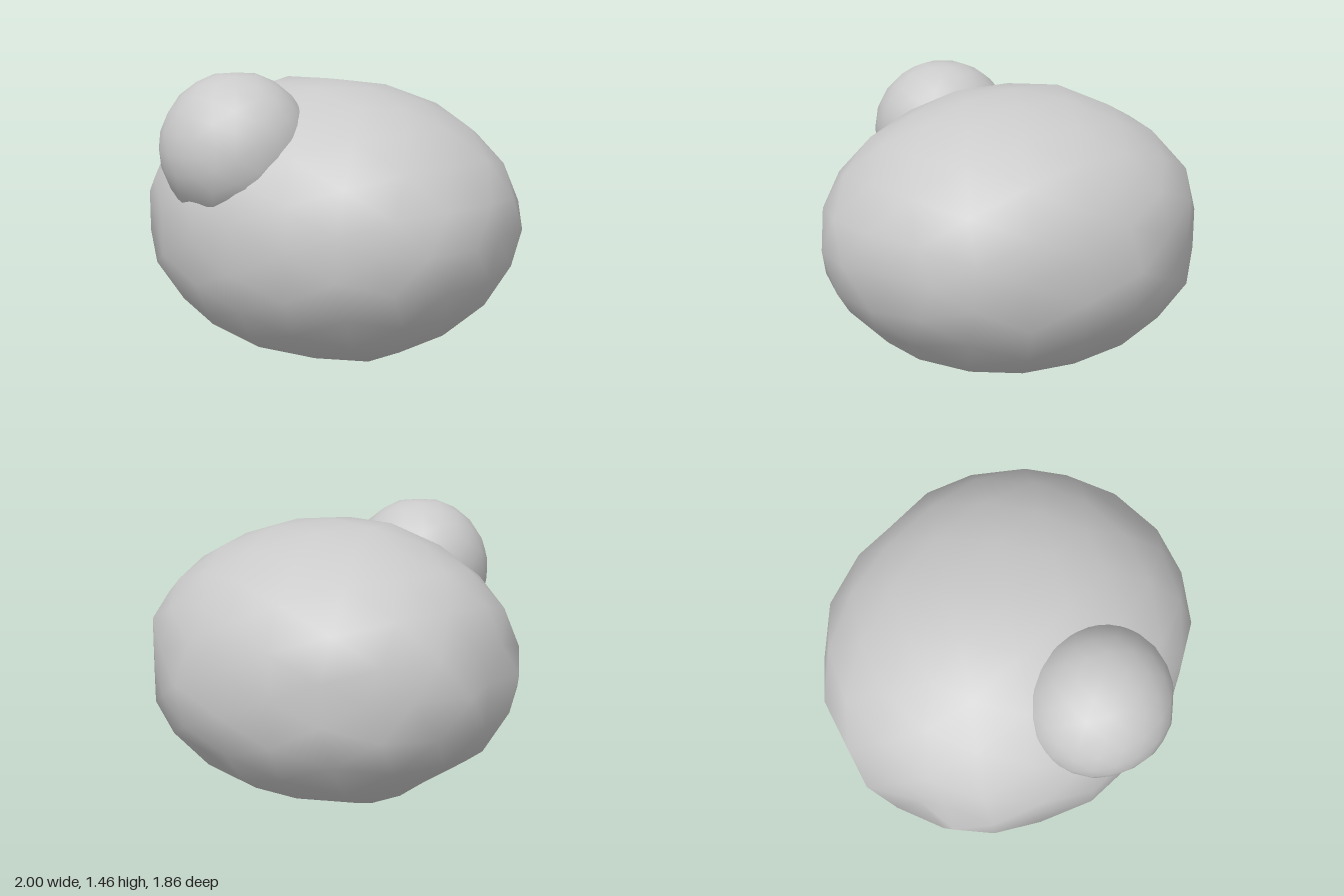
import * as THREE from 'three';
import { mergeVertices } from 'three/addons/utils/BufferGeometryUtils.js';

// Low-poly ball stretched to an ellipsoid; each dent [x, y, z, scale] moves the nearest vertex in or out.
function lumpyBall(rx, ry, front, back, dents, turn = 0) {
  let geo = new THREE.IcosahedronGeometry(1, 3);
  geo.deleteAttribute('normal');
  geo.deleteAttribute('uv');
  geo = mergeVertices(geo, 1e-3);
  geo.rotateY(turn);
  const pos = geo.attributes.position;
  const scale = new Array(pos.count).fill(1);
  const v = new THREE.Vector3();
  for (const [x, y, z, s] of dents) {
    const dir = new THREE.Vector3(x, y, z).normalize();
    let best = 0, bestDot = -2;
    for (let i = 0; i < pos.count; i++) {
      const dot = v.fromBufferAttribute(pos, i).dot(dir);
      if (dot > bestDot) { bestDot = dot; best = i; }
    }
    scale[best] = s;
  }
  for (let i = 0; i < pos.count; i++) {
    v.fromBufferAttribute(pos, i).multiplyScalar(scale[i]);
    pos.setXYZ(i, v.x * rx, v.y * ry, v.z * (v.z > 0 ? front : back));
  }
  geo.computeVertexNormals();
  return geo;
}

// The same dent above and below the middle
const pair = (x, y, z, s) => [[x, y, z, s], [x, -y, z, s]];

export function createModel() {
  const group = new THREE.Group();
  group.name = 'lumpyRock';
  const stone = new THREE.MeshStandardMaterial({ color: 0xcacaca });
  stone.name = 'grey stone';

  // Large body, slightly chipped
  const body = new THREE.Mesh(lumpyBall(1, 0.7, 0.87, 0.93, [
    // left and right flanks
    [-0.96, 0, 0.27, 0.91],
    [-0.95, 0.26, 0.16, 0.95],
    [-0.86, 0.3, 0.42, 0.95],
    [-0.96, 0, -0.27, 0.95],
    [0.96, 0, -0.27, 0.95],
    [0.86, 0.5, 0, 0.97],
    [0.86, -0.5, 0, 0.98],
    [-0.86, 0.5, 0, 0.98],
    [-0.86, -0.5, 0, 0.98],
    [-0.69, -0.7, 0.16, 0.95],
    [-0.69, -0.7, -0.16, 0.96],
    // pointed back
    ...pair(0.26, 0.16, -0.95, 0.965),
    ...pair(-0.26, 0.16, -0.95, 0.965),
    [0.5, 0, -0.86, 0.95],
    [-0.5, 0, -0.86, 0.95],
    ...pair(-0.69, 0.16, -0.7, 0.965),
    [0.85, 0, -0.53, 1.01],
    [-0.85, 0, -0.53, 0.94],
    [0, 0.27, -0.96, 0.955],
    [0, 0.53, -0.85, 0.985],
    [0, -0.53, -0.85, 0.965],
    // front
    [0, 0, 1, 0.98],
    [0, 0.27, 0.96, 1.02],
    [0, -0.53, 0.85, 1.02],
    [0.5, 0, 0.86, 0.965],
    [-0.5, 0, 0.86, 0.95],
    [0.85, 0, 0.53, 0.96],
    // top
    [-0.53, 0.85, 0, 0.98],
    [-0.27, 0.96, 0, 1.03],
    [0.27, 0.96, 0, 1.01],
    [0.13, 0.95, 0.26, 1.02],
    [-0.13, 0.95, 0.26, 1.02],
    // underside
    [-0.27, -0.96, 0, 1.045],
    [0.27, -0.96, 0, 1.045],
    [0, -1, 0, 0.96],
    [0.13, -0.95, -0.26, 0.98],
    [-0.13, -0.95, -0.26, 0.98],
  ]), stone);
  body.name = 'body';
  body.position.y = 0.7;
  group.add(body);

  // Small lump on the upper front, flat on top and fuller below
  const lump = new THREE.Mesh(lumpyBall(0.365, 0.36, 0.365, 0.35, [
    [0, 1, 0, 0.98],
    [0, -0.7, 0.72, 0.98],
    [0.25, -0.65, 0.7, 1.04],
    [-0.25, -0.65, 0.7, 1.04],
    [0.55, -0.55, 0.65, 1.03],
    [-0.55, -0.55, 0.65, 1.03],
    [0.8, -0.5, 0.3, 1.04],
    [-0.8, -0.5, 0.3, 1.04],
    [0, -0.35, 0.94, 1.02],
    [0.6, 0, 0.8, 0.97],
  ], 1.45), stone);
  lump.name = 'lump';
  lump.position.set(0, 1.11, 0.57);
  group.add(lump);

  return group;
}
